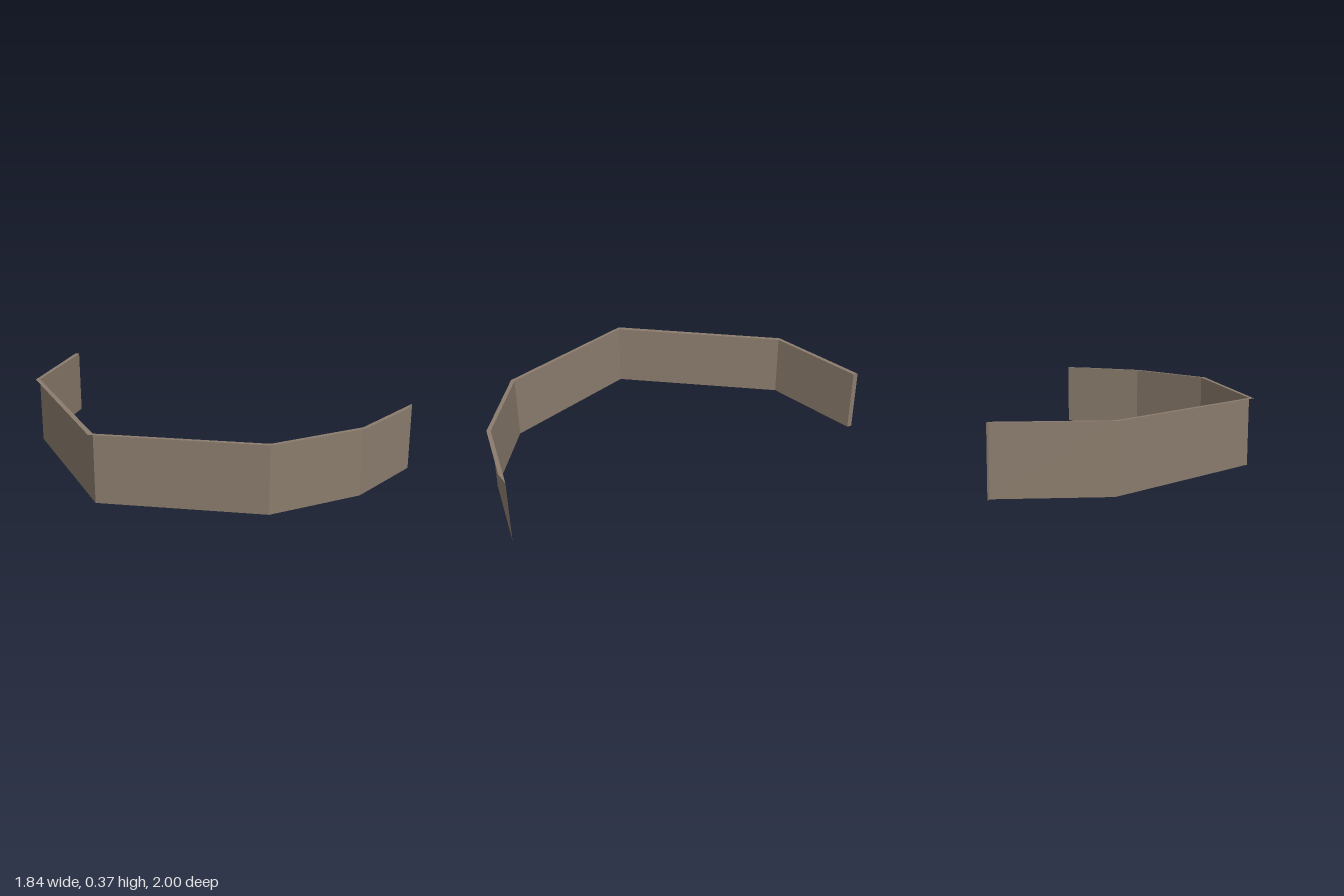
import * as THREE from 'three';

const HEIGHT = 0.373;

// Plan points [x, z] along the wall face and the outer rim of the coping
const FACE = [[-0.558, -0.977], [-0.897, -0.484], [-0.817, 0.546], [-0.046, 0.974], [0.487, 0.911], [0.919, 0.66]];
const RIM = [[-0.574, -1.0], [-0.921, -0.487], [-0.844, 0.555], [-0.052, 0.998], [0.492, 0.934], [0.855, 0.724]];

// Ribbon of flat quads between two equally long rows of points
function ribbon(name, rowA, rowB, material) {
  const positions = [];
  for (let i = 0; i < rowA.length - 1; i++) {
    const [a, b, c, d] = [rowA[i], rowA[i + 1], rowB[i + 1], rowB[i]];
    positions.push(...a, ...b, ...c, ...a, ...c, ...d);
  }
  const geometry = new THREE.BufferGeometry();
  geometry.setAttribute('position', new THREE.Float32BufferAttribute(positions, 3));
  geometry.computeVertexNormals();
  const mesh = new THREE.Mesh(geometry, material);
  mesh.name = name;
  return mesh;
}

const atHeight = (points, y) => points.map(([x, z]) => [x, y, z]);

export function createModel() {
  const stone = new THREE.MeshStandardMaterial({ color: 0x8a7b6c, side: THREE.DoubleSide });
  stone.name = 'brown stone';

  const group = new THREE.Group();
  group.name = 'curvedWall';

  // Upright wall: a single open sheet folded at each corner
  group.add(ribbon('wallFace', atHeight(FACE, 0), atHeight(FACE, HEIGHT), stone));

  // Narrow coping that overhangs outwards, tapering at the front end
  group.add(ribbon('coping', atHeight(FACE, HEIGHT), atHeight(RIM, HEIGHT), stone));

  // Upright end piece at the back
  const end = [RIM[0], FACE[0]];
  group.add(ribbon('endCap', atHeight(end, 0), atHeight(end, HEIGHT), stone));

  return group;
}
